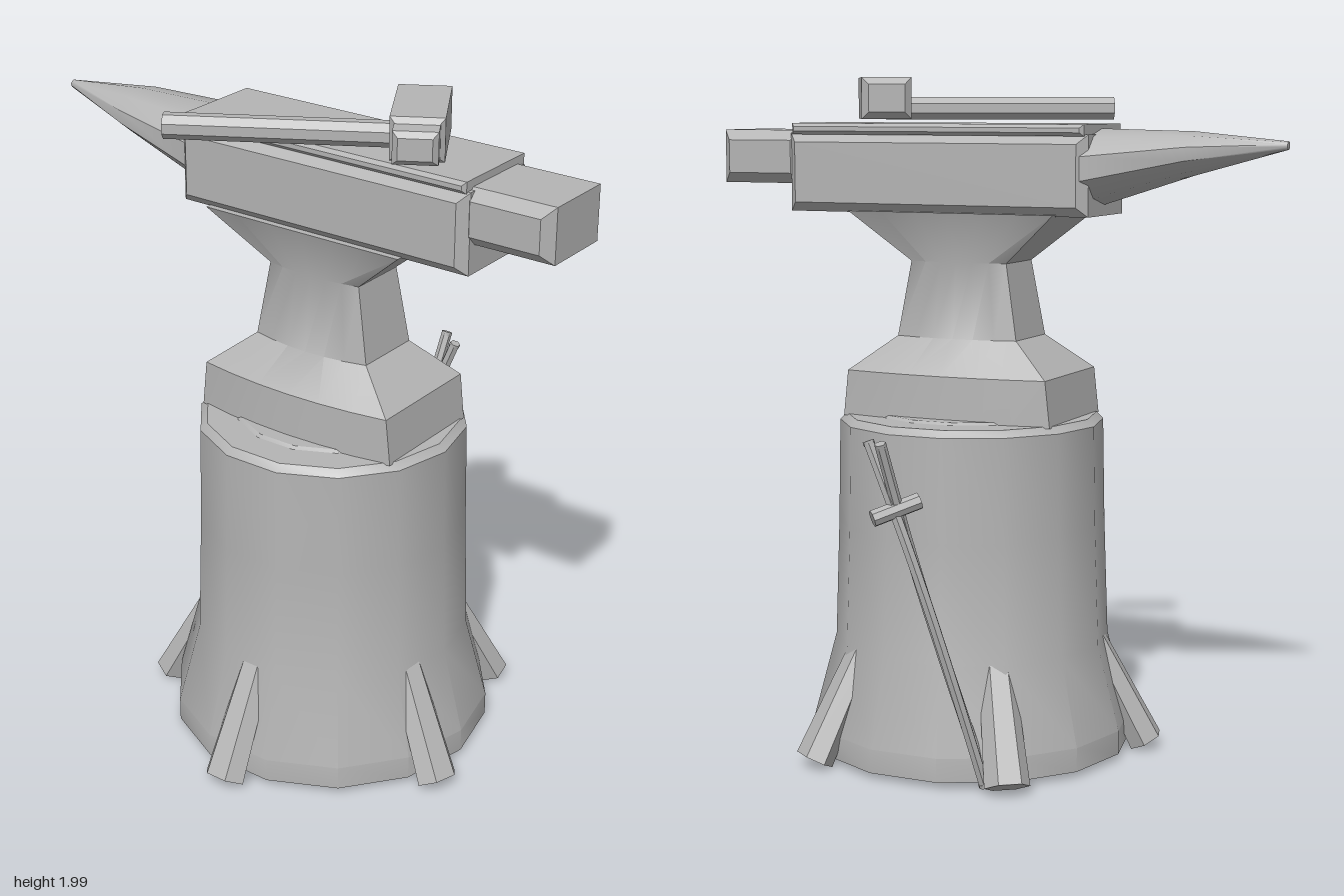
import * as THREE from 'three';
import { toCreasedNormals } from 'three/addons/utils/BufferGeometryUtils.js';

const CX = 0.09, CZ = 0.045; // shared axis of stump and anvil

export function createModel() {
  const model = new THREE.Group();
  const gray = new THREE.MeshStandardMaterial({ color: 0xb4b4b4 });
  gray.name = 'gray';

  function add(name, geometry, parent = model) {
    const mesh = new THREE.Mesh(geometry, gray);
    mesh.name = name;
    parent.add(mesh);
    return mesh;
  }

  // Box with chamfered edges, centred on the origin
  function chamferBox(w, h, d, b) {
    const x = w / 2 - b, y = h / 2 - b;
    const shape = new THREE.Shape([[-x, -y], [x, -y], [x, y], [-x, y]].map(p => new THREE.Vector2(...p)));
    const geo = new THREE.ExtrudeGeometry(shape, {
      depth: d - 2 * b, bevelEnabled: true, bevelThickness: b, bevelSize: b, bevelSegments: 1,
    });
    return geo.translate(0, 0, b - d / 2);
  }

  function boxBetween(name, x0, x1, y0, y1, z0, z1, b) {
    const mesh = add(name, chamferBox(x1 - x0, y1 - y0, z1 - z0, b));
    mesh.position.set((x0 + x1) / 2, (y0 + y1) / 2, (z0 + z1) / 2);
    return mesh;
  }

  // Closed skin through rings of [x, y, z]; rings run anticlockwise seen from the last one
  function loft(rings, crease) {
    const n = rings[0].length, index = [];
    for (let i = 0; i < rings.length - 1; i++) {
      for (let j = 0; j < n; j++) {
        const k = (j + 1) % n;
        const a = i * n + j, b = i * n + k, c = b + n, d = a + n;
        index.push(a, b, c, a, c, d);
      }
    }
    const last = (rings.length - 1) * n;
    for (let j = 1; j < n - 1; j++) {
      index.push(0, j + 1, j, last, last + j, last + j + 1);
    }
    const geo = new THREE.BufferGeometry();
    geo.setAttribute('position', new THREE.Float32BufferAttribute(rings.flat(2), 3));
    geo.setIndex(index);
    return toCreasedNormals(geo, crease);
  }

  // Stump: flared fourteen-sided block with a bevelled rim
  const stumpProfile = [
    [0, 0.03], [0.475, 0.03], [0.475, 0.1], [0.408, 0.35], [0.396, 0.7], [0.39, 1.0],
    [0.37, 1.02], [0.28, 1.02], [0.27, 1.027], [0, 1.027],
  ].map(p => new THREE.Vector2(...p));
  const stump = add('stump', toCreasedNormals(new THREE.LatheGeometry(stumpProfile, 14), 0.5));
  stump.position.set(CX, 0, CZ);
  stump.rotation.y = Math.PI / 14;

  // Five root stubs leaning against the stump
  for (let i = 0; i < 5; i++) {
    const pivot = new THREE.Group();
    pivot.name = 'root';
    pivot.position.set(CX, 0, CZ);
    pivot.rotation.y = i * Math.PI * 2 / 5;
    const geo = new THREE.CylinderGeometry(0.04, 0.053, 0.36, 6).rotateY(Math.PI / 6);
    const root = add('rootStub', toCreasedNormals(geo.scale(1.25, 1, 1), 0.3), pivot);
    root.rotation.x = -0.477;
    root.position.set(0, 0.193, 0.442);
    model.add(pivot);
  }

  // Anvil foot and waist: flat ends, bowed sides. Rows: y, half length, half depth at ends, at middle
  const waistRows = [
    [1.015, 0.33, 0.185, 0.222], [1.15, 0.315, 0.185, 0.215], [1.25, 0.19, 0.105, 0.132],
    [1.47, 0.152, 0.09, 0.108], [1.615, 0.325, 0.157, 0.158],
  ];
  const waistRings = waistRows.map(([y, hx, end, mid]) => {
    const ring = [];
    for (const side of [-1, 1]) {
      for (let k = 0; k <= 6; k++) {
        const t = 1 - k / 3;
        ring.push([CX - side * hx * t, y, CZ + side * (end + (mid - end) * (1 - t * t))]);
      }
    }
    // start at the left back corner and run towards -x, then back along the front
    return ring;
  });
  add('anvilWaist', loft(waistRings, 0.6));

  // Anvil body, face plate and heel
  boxBetween('anvilBody', -0.33, 0.62, 1.61, 1.84, -0.11, 0.205, 0.027);
  boxBetween('anvilFace', -0.32, 0.61, 1.835, 1.868, -0.103, 0.193, 0.01);
  boxBetween('anvilHeel', 0.59, 0.86, 1.69, 1.847, -0.09, 0.182, 0.03);

  // Horn: rows of x, centre y, half height, half depth
  const hornRows = [
    [-0.31, 1.745, 0.105, 0.145], [-0.6, 1.788, 0.058, 0.098], [-0.868, 1.812, 0.011, 0.012],
  ];
  const hornRings = hornRows.map(([x, y, ry, rz]) => Array.from({ length: 10 }, (_, j) => {
    const a = (j + 0.5) * Math.PI / 5;
    return [x, y + ry * Math.sin(a) / 0.95, CZ - 0.003 + rz * Math.cos(a) / 0.95];
  }));
  add('anvilHorn', loft(hornRings, 0.7));

  // Hammer lying across the face; its local x runs along the handle to the head
  const hammer = new THREE.Group();
  hammer.name = 'hammer';
  hammer.position.set(0.38, 1.94, 0.055);
  hammer.rotation.y = Math.PI / 6;
  model.add(hammer);
  add('hammerHead', chamferBox(0.145, 0.12, 0.31, 0.02), hammer).position.z = -0.015;
  add('hammerFace', chamferBox(0.12, 0.09, 0.1, 0.015), hammer).position.z = 0.155;
  const handleGeo = new THREE.CylinderGeometry(0.036, 0.036, 0.68, 8).rotateY(Math.PI / 8).rotateZ(Math.PI / 2);
  add('hammerHandle', toCreasedNormals(handleGeo, 0.5), hammer).position.set(-0.345, -0.029, 0);

  // Tongs leaning on the back: two crossing bars around a bolt
  const foot = new THREE.Vector3(-0.14, 0.03, -0.36);
  const joint = new THREE.Vector3(0.045, 0.83, -0.535);
  const along = joint.clone().sub(foot);
  const spread = new THREE.Vector3(0.68, 0, 0.73);
  const boltAxis = new THREE.Vector3().crossVectors(spread, along).normalize();
  const bars = [[0, 0.012], [0.3, 0.03], [0.65, 0.034], [0.9, 0.016], [1, 0], [1.1, -0.016], [1.23, -0.04]];
  for (const side of [-1, 1]) {
    const points = bars.map(([t, s]) => foot.clone()
      .addScaledVector(along, t).addScaledVector(spread, side * s).addScaledVector(boltAxis, side * 0.006));
    const path = new THREE.CatmullRomCurve3(points);
    add('tongsBar', toCreasedNormals(new THREE.TubeGeometry(path, 18, 0.016, 6), 0.5));
    // End caps of the bar
    for (const t of [0, 1]) {
      const cap = add('tongsBarEnd', new THREE.CylinderGeometry(0.016, 0.016, 0.012, 6));
      cap.position.copy(path.getPoint(t));
      cap.quaternion.setFromUnitVectors(new THREE.Vector3(0, 1, 0), path.getTangent(t));
    }
  }
  const bolt = add('tongsBolt', toCreasedNormals(new THREE.CylinderGeometry(0.024, 0.024, 0.14, 8), 0.5));
  bolt.position.copy(joint);
  bolt.quaternion.setFromUnitVectors(new THREE.Vector3(0, 1, 0), boltAxis);

  return model;
}
